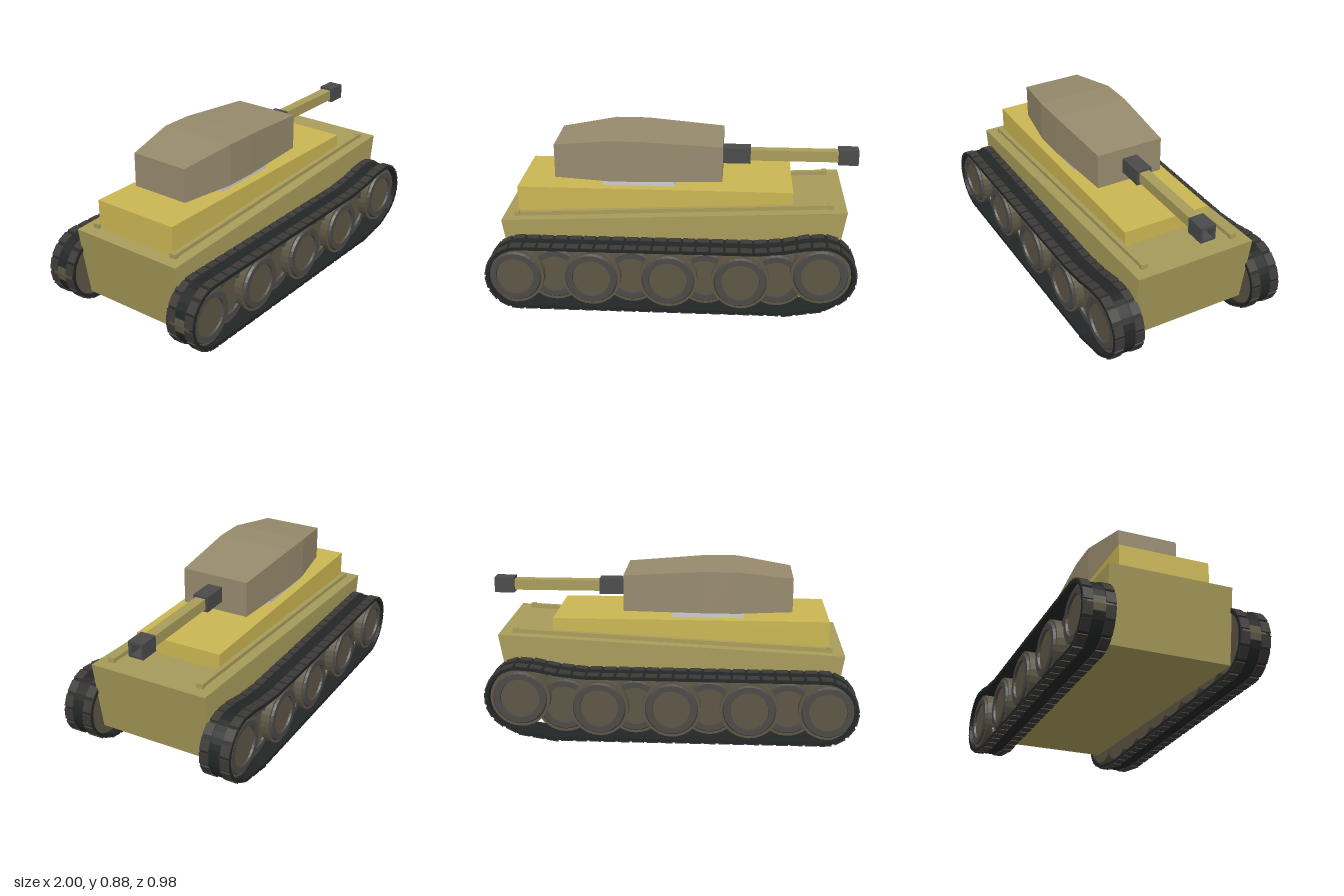
import * as THREE from 'three';

const mat = (color) => new THREE.MeshStandardMaterial({ color, flatShading: true });
const HULL = mat(0xa89c5a), DECK = mat(0xcbb652), TURRET = mat(0x978a6d), STEEL = mat(0x4a4a4a);
const RING = mat(0xcccccc), BAND = mat(0x232626), PAD = mat(0x3d3a37);
const RIM = mat(0x4c4946), DISC = mat(0x5d5645);

function add(parent, name, geometry, material, x = 0, y = 0, z = 0) {
  const mesh = new THREE.Mesh(geometry, material);
  mesh.name = name;
  mesh.position.set(x, y, z);
  parent.add(mesh);
  return mesh;
}

// Box given by its x, y and z ranges
function block(parent, name, material, [x0, x1], [y0, y1], [z0, z1]) {
  return add(parent, name, new THREE.BoxGeometry(x1 - x0, y1 - y0, z1 - z0), material,
    (x0 + x1) / 2, (y0 + y1) / 2, (z0 + z1) / 2);
}

// Side outline extruded across z
function slab(shape, z0, z1) {
  return new THREE.ExtrudeGeometry(shape, { depth: z1 - z0, bevelEnabled: false }).translate(0, 0, z0);
}
const outline = (pts) => new THREE.Shape(pts.map(([x, y]) => new THREE.Vector2(x, y)));

// Turret: a box with four cross-sections, each [x, top, half width]
function turretGeometry() {
  const sections = [[-0.655, 0.83, 0.167], [-0.355, 0.873, 0.218], [-0.175, 0.873, 0.218], [0.26, 0.842, 0.191]];
  const geo = new THREE.BoxGeometry(3, 1, 1, 3, 1, 1);
  const p = geo.attributes.position;
  for (let i = 0; i < p.count; i++) {
    const [x, top, half] = sections[Math.round(p.getX(i) + 1.5)];
    p.setXYZ(i, x, p.getY(i) > 0 ? top : 0.645, Math.sign(p.getZ(i)) * half);
  }
  geo.computeVertexNormals();
  return geo;
}

// Track loop, counterclockwise from the bottom front
function trackPath() {
  const path = new THREE.Path();
  path.moveTo(0.62, 0.005);
  path.lineTo(0.8, 0.035);
  path.absarc(0.795, 0.235, 0.178, -0.96, Math.PI / 2, false);
  path.lineTo(0.7, 0.405);
  path.lineTo(0.6, 0.384);
  path.lineTo(0.45, 0.368);
  path.absarc(-0.815, 0.185, 0.18, Math.PI / 2, Math.PI * 1.5, false);
  path.lineTo(0.62, 0.005);
  return path;
}

function bandGeometry(path) {
  const pts = path.getPoints(7);
  if (pts[0].distanceTo(pts[pts.length - 1]) < 1e-6) pts.pop();
  const n = pts.length;
  const inner = pts.map((p, i) => {
    const t = pts[(i + 1) % n].clone().sub(pts[(i + n - 1) % n]).normalize();
    return new THREE.Vector2(p.x - t.y * 0.018, p.y + t.x * 0.018);
  });
  const shape = new THREE.Shape(pts);
  shape.holes.push(new THREE.Path(inner.reverse()));
  return slab(shape, 0.325, 0.492);
}

// Road wheel: drum, raised dark rim and recessed disc, facing +z
function wheel(parent, name, x, y, r, face) {
  const g = new THREE.Group();
  g.name = name;
  g.position.set(x, y, 0);
  const depth = face - 0.337;
  add(g, 'wheelDrum', new THREE.CylinderGeometry(r, r, depth, 28).rotateX(Math.PI / 2), DISC, 0, 0, 0.337 + depth / 2);
  const profile = [[r * 0.64, -0.005], [r * 0.66, 0.012], [r * 0.86, 0.012], [r * 0.93, -0.005]];
  const rim = new THREE.LatheGeometry(profile.reverse().map(([a, b]) => new THREE.Vector2(a, b)), 28);
  add(g, 'wheelRim', rim.rotateX(Math.PI / 2), RIM, 0, 0, face);
  parent.add(g);
}

function runningGear() {
  const gear = new THREE.Group();
  const path = trackPath();
  add(gear, 'trackBand', bandGeometry(path), BAND);

  // Paired pads along the loop
  const pad = new THREE.BoxGeometry(0.062, 0.012, 0.05);
  const count = 57;
  for (let i = 0; i < count; i++) {
    const p = path.getPointAt(i / count), t = path.getTangentAt(i / count);
    for (const z of [0.351, 0.466]) {
      add(gear, 'trackPad', pad, PAD, p.x - t.y * 0.001, p.y + t.x * 0.001, z).rotation.z = Math.atan2(t.y, t.x);
    }
  }

  // Overlapping wheels in two rows, plus the raised front wheel
  for (const x of [-0.63, -0.215, 0.18, 0.56]) wheel(gear, 'innerWheel', x, 0.185, 0.156, 0.42);
  for (const x of [-0.84, -0.427, -0.016, 0.368]) wheel(gear, 'outerWheel', x, 0.185, 0.156, 0.468);
  wheel(gear, 'driveWheel', 0.79, 0.233, 0.16, 0.468);
  return gear;
}

export function createModel() {
  const model = new THREE.Group();
  model.name = 'tank';

  // Hull and deck
  const hull = outline([[-0.865, 0.05], [0.858, 0.14], [0.925, 0.54], [-0.93, 0.45]]);
  add(model, 'hull', slab(hull, -0.333, 0.333), HULL);
  block(model, 'upperDeck', DECK, [-0.85, 0.64], [0.45, 0.614], [-0.248, 0.248]);

  // Sloped side rails with end blocks
  for (const side of [1, -1]) {
    const rail = new THREE.Group();
    rail.name = side > 0 ? 'leftRail' : 'rightRail';
    rail.position.set(0, 0.504, side * 0.262);
    rail.rotation.z = Math.atan2(0.09, 1.855);
    block(rail, 'railBar', HULL, [-0.86, 0.855], [-0.012, 0.013], [-0.013, 0.013]);
    for (const x of [-0.855, 0.845]) block(rail, 'railEnd', HULL, [x - 0.013, x + 0.013], [-0.014, 0.017], [-0.018, 0.018]);
    model.add(rail);
  }

  // Turret and its base
  block(model, 'turretBase', RING, [-0.39, 0], [0.6, 0.65], [-0.194, 0.194]);
  add(model, 'turret', turretGeometry(), TURRET);

  // Gun with a hollow square muzzle
  block(model, 'gunMantlet', STEEL, [0.25, 0.41], [0.7, 0.785], [-0.043, 0.043]);
  block(model, 'gunBarrel', HULL, [0.4, 0.9], [0.714, 0.773], [-0.029, 0.029]);
  block(model, 'muzzleBack', STEEL, [0.89, 0.92], [0.701, 0.785], [-0.042, 0.042]);
  const square = (h) => [[-h, -h], [h, -h], [h, h], [-h, h]];
  const muzzle = outline(square(0.042));
  muzzle.holes.push(new THREE.Path(square(0.03).reverse().map(([x, y]) => new THREE.Vector2(x, y))));
  add(model, 'muzzle', slab(muzzle, 0, 0.08).rotateY(Math.PI / 2), STEEL, 0.92, 0.743, 0);

  // Running gear: the right side is the left turned inside out across z
  const left = runningGear();
  left.name = 'leftRunningGear';
  const right = runningGear();
  right.name = 'rightRunningGear';
  right.scale.z = -1;
  model.add(left, right);
  return model;
}
